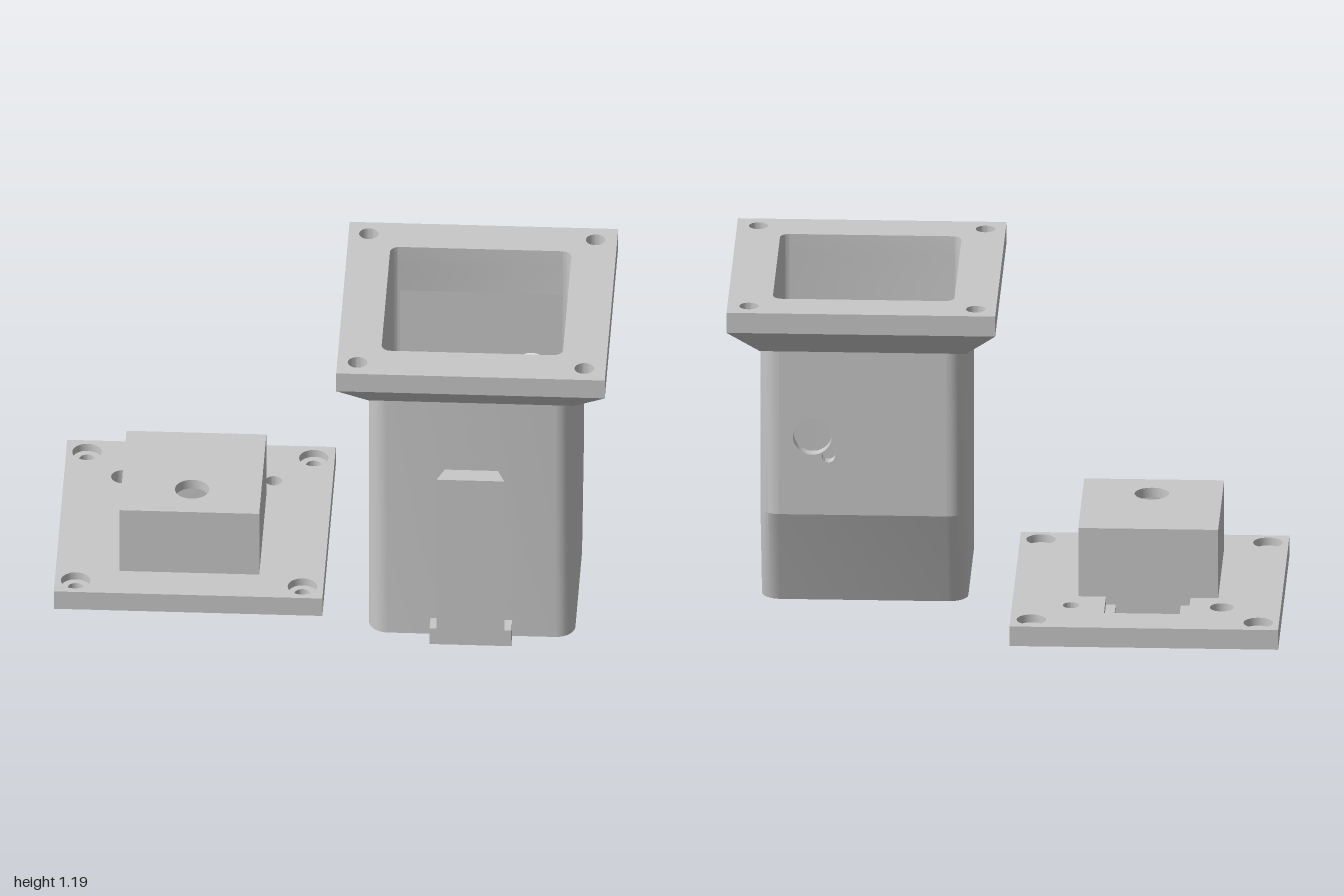
import * as THREE from 'three';
import { toCreasedNormals } from 'three/addons/utils/BufferGeometryUtils.js';

const grey = new THREE.MeshStandardMaterial({ color: 0xc8c8c8 });
grey.name = 'plain grey';

function add(group, name, geometry) {
  const mesh = new THREE.Mesh(geometry, grey);
  mesh.name = name;
  group.add(mesh);
  return mesh;
}

// Points [x, z] of a rectangle with rounded corners
function section(x0, x1, z0, z1, r = 0) {
  const n = r ? 8 : 0;
  const corners = [[x1 - r, z1 - r], [x0 + r, z1 - r], [x0 + r, z0 + r], [x1 - r, z0 + r]];
  const pts = [];
  corners.forEach(([cx, cz], k) => {
    for (let i = 0; i <= n; i++) {
      const a = (k + (n ? i / n : 0)) * Math.PI / 2;
      pts.push([cx + r * Math.cos(a), cz + r * Math.sin(a)]);
    }
  });
  return pts;
}

// Outlines seen from above, all counter-clockwise so that hole walls face inwards
const plan = pts => new THREE.Shape(pts.map(([x, z]) => new THREE.Vector2(x, -z)).reverse());
const rect = (...args) => plan(section(...args));
const circle = (x, z, r) => new THREE.Shape().absarc(x, -z, r, 0, Math.PI * 2);

// Flat layer between heights y0 and y1, cut by holes
function slab(shape, y0, y1, holes = []) {
  shape.holes = holes;
  const g = new THREE.ExtrudeGeometry(shape, { depth: y1 - y0, bevelEnabled: false, curveSegments: 16 });
  g.rotateX(-Math.PI / 2).translate(0, y0, 0);
  return toCreasedNormals(g, 0.45);
}

// Skin through stacked sections; skip(layer, segment) leaves an opening
function loft(rings, { inside = false, cap = false, skip = () => false } = {}) {
  const pos = [];
  const tri = (a, b, c) => pos.push(...a, ...b, ...c);
  const pts = rings.map(([y, s]) => s.map(([x, z]) => [x, y, z]));
  const n = pts[0].length;
  for (let k = 0; k + 1 < pts.length; k++) {
    for (let i = 0; i < n; i++) {
      if (skip(k, i)) continue;
      const j = (i + 1) % n;
      const a = pts[k][i], b = pts[k][j], c = pts[k + 1][j], d = pts[k + 1][i];
      if (inside) { tri(a, b, c); tri(a, c, d); } else { tri(a, c, b); tri(a, d, c); }
    }
  }
  if (cap) {
    const p = pts[0];
    for (let i = 1; i + 1 < n; i++) inside ? tri(p[0], p[i + 1], p[i]) : tri(p[0], p[i], p[i + 1]);
  }
  const g = new THREE.BufferGeometry();
  g.setAttribute('position', new THREE.Float32BufferAttribute(pos, 3));
  return toCreasedNormals(g, 0.3);
}

function makeContainer() {
  const g = new THREE.Group();
  g.name = 'container';
  const outer = z0 => section(0.14, 0.885, z0, 0.49, 0.07);
  const inner = z0 => section(0.185, 0.84, z0, 0.445, 0.035);
  const skip = (k, i) => k === 1 && i === 26; // flat of the back wall

  add(g, 'outerShell', loft([[0, outer(-0.142)], [0.375, outer(-0.278)], [1, outer(-0.278)]],
    { cap: true, skip }));
  add(g, 'innerShell', loft([[0.045, inner(-0.113)], [0.375, inner(-0.237)], [1, inner(-0.237)],
    [1.11, inner(-0.237)]], { inside: true, cap: true, skip }));

  // Back wall with a cable hole and a small pin hole
  const wall = new THREE.Shape([[0.21, 0.375], [0.815, 0.375], [0.815, 1], [0.21, 1]]
    .map(p => new THREE.Vector2(...p)));
  wall.holes = [[0.695, 0.675, 0.07], [0.637, 0.6, 0.024]]
    .map(([x, y, r]) => new THREE.Path().absarc(x, y, r, 0, Math.PI * 2));
  const wallGeo = new THREE.ExtrudeGeometry(wall, { depth: 0.041, bevelEnabled: false, curveSegments: 16 });
  add(g, 'backWall', toCreasedNormals(wallGeo.translate(0, 0, -0.278), 0.45));

  // Flared collar and rim with blind screw holes
  add(g, 'collar', loft([[1, section(0.14, 0.885, -0.278, 0.49)], [1.11, section(0.03, 1, -0.393, 0.603)]]));
  add(g, 'collarUnderside', slab(rect(0.14, 0.885, -0.278, 0.49), 1, 1.005, [plan(outer(-0.278))]));
  const screws = [];
  for (const x of [0.103, 0.922]) for (const z of [-0.318, 0.527]) screws.push([x, z]);
  add(g, 'rim', slab(rect(0.03, 1, -0.393, 0.603), 1.11, 1.187,
    [plan(inner(-0.237)), ...screws.map(([x, z]) => circle(x, z, 0.035))]));
  for (const [x, z] of screws) add(g, 'screwHoleFloor', slab(circle(x, z, 0.036), 1.105, 1.11));

  // Dovetail rail and its stop on the front
  add(g, 'dovetailRail', slab(plan([[0.39, 0.558], [0.635, 0.558], [0.608, 0.488], [0.417, 0.488]]), 0.065, 0.71));
  add(g, 'railStop', slab(rect(0.365, 0.66, 0.488, 0.558), 0, 0.068));

  // Small ribs on the floor
  for (const x of [0.372, 0.65]) for (const z of [0.259, 0.325]) {
    add(g, 'floorRib', new THREE.BoxGeometry(0.166, 0.025, 0.024)).position.set(x, 0.0475, z);
  }
  return g;
}

function makeLid() {
  const g = new THREE.Group();
  g.name = 'lid';
  const plate = () => rect(-1, -0.03, -0.603, 0.393);
  const screws = r => [-0.925, -0.106].flatMap(x => [-0.527, 0.317].map(z => circle(x, z, r)));
  const cavity = () => rect(-0.73, -0.305, -0.235, 0.207);
  const openings = () => [cavity(), circle(-0.787, -0.371, 0.043), circle(-0.243, -0.371, 0.03)];
  const window = () => rect(-0.635, -0.4, -0.407, -0.275);
  const ring = (d, r) => rect(-1 + d, -0.03 - d, -0.603 + d, 0.393 - d, r);

  // Plate in layers: seal groove below, screw counterbores and window recess above
  add(g, 'plateBorder', slab(plate(), 0, 0.02, [ring(0.115, 0.06), ...screws(0.028)]));
  add(g, 'plateInside', slab(ring(0.148, 0.035), 0, 0.02, [...openings(), window()]));
  add(g, 'plateCore', slab(plate(), 0.02, 0.045, [...screws(0.028), ...openings(), window()]));
  add(g, 'plateTop', slab(plate(), 0.045, 0.075,
    [...screws(0.053), ...openings(), rect(-0.67, -0.365, -0.447, -0.275)]));

  // Hollow housing with a round hole on top
  const housing = () => rect(-0.77, -0.265, -0.275, 0.247);
  add(g, 'housingWalls', slab(housing(), 0.075, 0.3, [cavity()]));
  add(g, 'housingTop', slab(housing(), 0.3, 0.337, [circle(-0.515, 0.097, 0.062)]));
  return g;
}

export function createModel() {
  const model = new THREE.Group();
  model.name = 'containerWithLid';
  model.add(makeContainer(), makeLid());
  return model;
}
